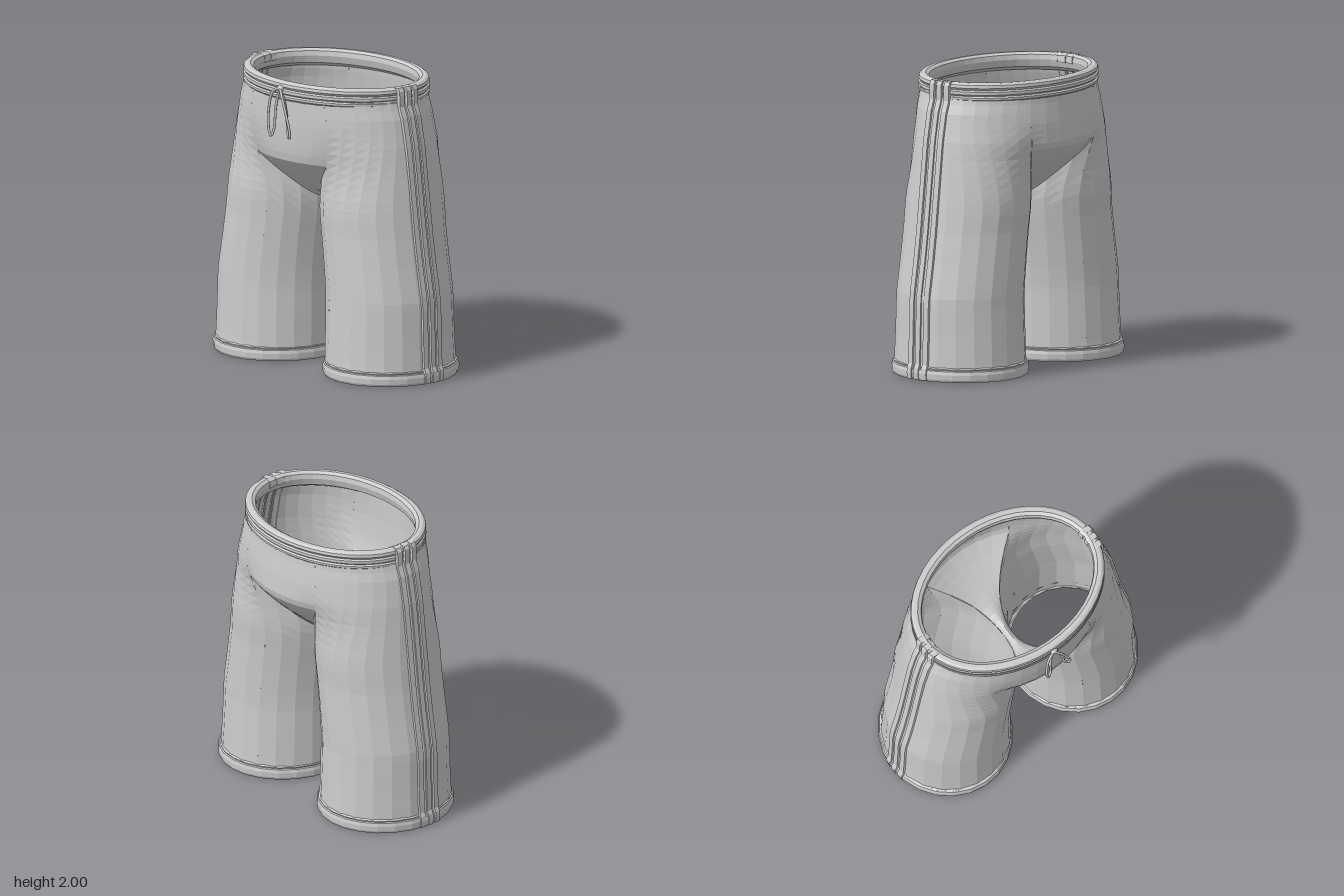
import * as THREE from 'three';

const fabric = new THREE.MeshStandardMaterial({ color: 0xcccccc, flatShading: true, side: THREE.DoubleSide });
const cord = new THREE.MeshStandardMaterial({ color: 0xcccccc });

// Piecewise-linear lookup through [y, value] pairs
const along = (keys) => (y) => {
  for (let i = 1; i < keys.length; i++) {
    const [y0, v0] = keys[i - 1], [y1, v1] = keys[i];
    if (y <= y1) return v0 + (v1 - v0) * Math.max(0, (y - y0) / (y1 - y0));
  }
  return keys[keys.length - 1][1];
};
const lerp = THREE.MathUtils.lerp;

// Silhouette curves
const outerX = along([[0, .943], [.12, .938], [.3, .93], [.55, .925], [.8, .88], [1, .85], [1.2, .825], [1.4, .8], [1.6, .775], [1.8, .735], [1.88, .7], [2, .685]]);
const innerX = along([[0, .085], [.5, .088], [.65, .08], [.85, .06], [1, .04], [1.12, .03], [1.5, .03]]);
const legFront = along([[0, .45], [.15, .44], [.5, .43], [1, .42], [1.3, .425], [1.6, .44]]);
const legBack = along([[0, .465], [.15, .455], [.5, .44], [1, .44], [1.2, .455], [1.4, .48], [1.6, .49]]);
const hipFront = along([[1.3, .45], [1.45, .475], [1.52, .49], [1.7, .5], [2, .5]]);
const hipBack = along([[1.3, .48], [1.4, .51], [1.57, .56], [1.7, .55], [1.85, .53], [2, .525]]);

const A = THREE.MathUtils.degToRad(115); // where the outer leg meets the centre panel
const PHI = THREE.MathUtils.degToRad(62); // same edge, measured around the hips
const TOP = 1.97, FRONT_Y = 1.45, BACK_Y = 1.53;

// How close an inner-leg angle is to the panel edge: 1 at the edge, 0 innermost
const edgeNess = (a) => Math.min(1, Math.abs(Math.sin(a)) / Math.sin(A));
const crotchY = (a) => 1.12 + ((Math.sin(a) > 0 ? FRONT_Y : BACK_Y) - 1.12) * edgeNess(a) ** 2.2;

// Point on the left half: a leg ellipse blending upward into the hip ellipse
function wall(a, y) {
  const front = Math.sin(a) > 0;
  const ox = outerX(y), ix = innerX(y);
  const lx = (ox + ix) / 2 + (ox - ix) / 2 * Math.cos(a);
  const lz = (front ? legFront : legBack)(y) * Math.sin(a);
  const inner = Math.abs(a) > A;
  const phi = inner ? (front ? PHI : -PHI) : a * PHI / A;
  const b = THREE.MathUtils.smoothstep(y, 1.1, 1.75) * (inner ? edgeNess(a) ** 2 : 1);
  const hz = (front ? hipFront : hipBack)(y) * Math.sin(phi);
  return [lerp(lx, ox * Math.cos(phi), b), y, lerp(lz, hz, b)];
}

// Surface from a rule f(u, v); side -1 mirrors it in x
function sheet(nu, nv, f, side = 1) {
  const pos = [], idx = [];
  for (let j = 0; j <= nv; j++) for (let i = 0; i <= nu; i++) {
    const [x, y, z] = f(i / nu, j / nv);
    pos.push(x * side, y, z);
  }
  for (let j = 0; j < nv; j++) for (let i = 0; i < nu; i++) {
    const p = j * (nu + 1) + i, q = p + nu + 1;
    if (side > 0) idx.push(p, q, p + 1, p + 1, q, q + 1);
    else idx.push(p, p + 1, q, p + 1, q + 1, q);
  }
  const g = new THREE.BufferGeometry();
  g.setAttribute('position', new THREE.Float32BufferAttribute(pos, 3));
  g.setIndex(idx);
  g.computeVertexNormals();
  return g;
}

// Elliptical band swept from a profile of [offset, y]
function band(cx, cz, rx, rz, profile, n) {
  return sheet(n, profile.length - 1, (u, v) => {
    const [o, y] = profile[Math.round(v * (profile.length - 1))];
    const a = u * Math.PI * 2;
    return [cx + (rx + o) * Math.cos(a), y, cz + (rz + o) * Math.sin(a)];
  });
}

function add(parent, name, geometry, material = fabric) {
  const m = new THREE.Mesh(geometry, material);
  m.name = name;
  parent.add(m);
  return m;
}

// Edge and middle of the panel running from front waist, under, to back waist
function panelRow(v) {
  const s = v * 4; // 0-1 front, 1-3 gusset, 3-4 back
  if (s <= 1 || s >= 3) {
    const front = s <= 1;
    const y = front ? lerp(TOP, FRONT_Y, s) : lerp(BACK_Y, TOP, s - 3);
    return [wall(front ? A : -A, y), [0, y, front ? hipFront(y) : -hipBack(y)]];
  }
  let a = lerp(A, 2 * Math.PI - A, (s - 1) / 2);
  if (a > Math.PI) a -= 2 * Math.PI;
  const front = a > 0, g = edgeNess(a), e = wall(a, crotchY(a));
  const end = wall(front ? A : -A, front ? FRONT_Y : BACK_Y)[2];
  const mid = front ? hipFront(FRONT_Y) : -hipBack(BACK_Y);
  return [e, [0, e[1] + .04 * (1 - g), e[2] + (mid - end) * g ** 3]];
}

export function createModel() {
  const group = new THREE.Group();
  group.name = 'shorts';

  // Centre panel with crotch gusset
  add(group, 'centrePanel', sheet(6, 40, (u, v) => {
    const [e, c] = panelRow(v), t = u * 2 - 1;
    return [e[0] * t, lerp(c[1], e[1], t * t), lerp(c[2], e[2], t * t)];
  }));

  const hem = [[-.025, .03], [-.012, .008], [.004, .004], [.013, .02], [.015, .055], [.009, .078], [.001, .083], [.004, .092], [-.008, .1]];
  for (const side of [1, -1]) {
    const leg = new THREE.Group();
    leg.name = side > 0 ? 'leftLeg' : 'rightLeg';
    group.add(leg);
    // Outer leg and hip, then inner leg up to the gusset
    add(leg, 'outerLeg', sheet(14, 32, (u, v) => wall(lerp(-A, A, u), lerp(.01, TOP, v)), side));
    add(leg, 'innerLeg', sheet(8, 20, (u, v) => {
      let a = lerp(A, 2 * Math.PI - A, u);
      if (a > Math.PI) a -= 2 * Math.PI;
      return wall(a, lerp(.01, crotchY(a), v));
    }, side));
    add(leg, 'hem', band(side * .514, -.008, .429, .457, hem, 24));

    // Raised side stripes, folded over the waistband
    const path = [[.93, .02], [.957, .008], [.962, .05], [.958, .085], [.946, .11]];
    for (let y = .2; y < 1.86; y += .1) path.push([outerX(y) + .008, y]);
    path.push([.715, 1.87], [.716, 1.9], [.714, 1.975], [.7, 1.998], [.66, 2], [.625, 1.985], [.618, 1.94]);
    for (const z of [-.045, .018, .081]) {
      const cross = [[-.024, -.02], [-.02, 0], [.02, 0], [.024, -.02]];
      add(leg, 'sideStripe', sheet(3, path.length - 1, (u, v) => {
        const k = Math.round(v * (path.length - 1));
        const [w, d] = cross[Math.round(u * 3)], [x, y] = path[k];
        const over = k >= path.length - 3; // part lying on the inside of the rim
        const zz = z + w;
        return [x - zz * zz * .9 + (over ? -d : d), over ? y + d * .3 : y, zz];
      }, side));
    }
  }

  // Ribbed waistband with a rounded rim
  add(group, 'waistband', band(0, -.012, .69, .515, [
    [-.05, 1.9], [-.064, 1.95], [-.058, 1.983], [-.035, 1.998], [-.008, 1.997], [.009, 1.985], [.013, 1.965],
    [.002, 1.949], [.013, 1.94], [.013, 1.92], [.002, 1.909], [.013, 1.9], [.012, 1.885], [-.004, 1.872], [-.05, 1.9],
  ], 44));

  // Drawstring: a small knot and two hanging loops
  const string = new THREE.Group();
  string.name = 'drawstring';
  group.add(string);
  const knot = add(string, 'knot', new THREE.SphereGeometry(.022, 12, 8), cord);
  knot.position.set(0, 1.955, .522);
  knot.scale.set(1.2, .9, .8);
  const loops = [
    [[0, 1.955, .525], [-.05, 1.93, .54], [-.078, 1.82, .55], [-.078, 1.67, .553], [-.06, 1.62, .55], [-.042, 1.67, .54], [-.035, 1.82, .53], [-.018, 1.91, .525]],
    [[0, 1.955, .525], [.035, 1.91, .545], [.08, 1.79, .55], [.113, 1.67, .548], [.102, 1.625, .54], [.082, 1.65, .532], [.058, 1.8, .525], [.022, 1.91, .522]],
  ];
  for (const pts of loops) {
    const curve = new THREE.CatmullRomCurve3(pts.map((p) => new THREE.Vector3(...p)), true);
    add(string, 'stringLoop', new THREE.TubeGeometry(curve, 48, .009, 8, true), cord);
  }
  return group;
}
